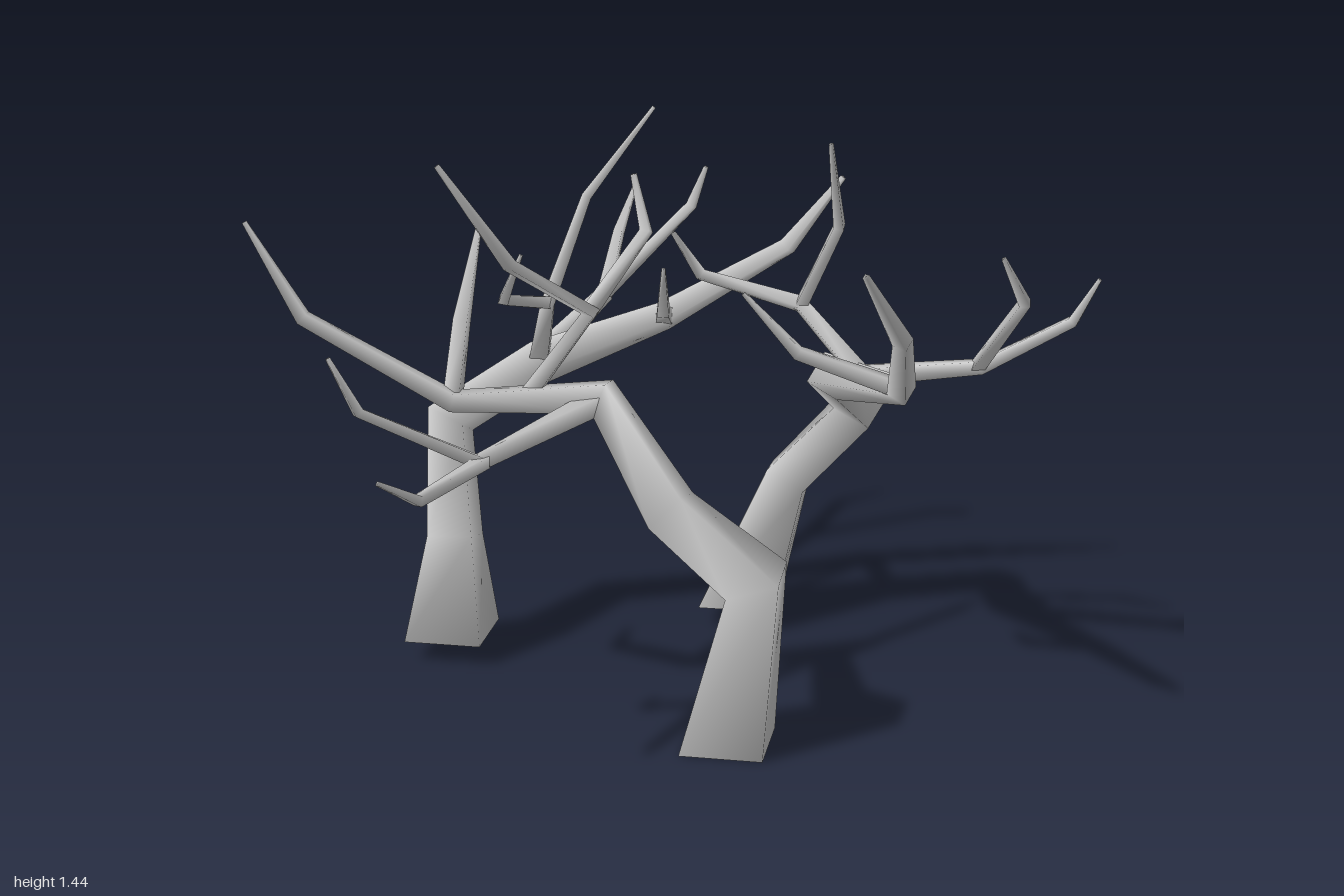
import * as THREE from 'three';

const material = new THREE.MeshStandardMaterial({ color: 0xcccccc });

// Smooth-shaded, four-sided limb through points [x, y, z, halfWidth]
function limb(name, points) {
  const centers = points.map(p => new THREE.Vector3(p[0], p[1], p[2]));
  const n = centers.length;
  const steps = centers.slice(1).map((c, i) => c.clone().sub(centers[i]).normalize());
  let side = new THREE.Vector3(1, 0, 0);
  if (Math.abs(steps[0].x) > 0.9) side.set(0, 0, 1);
  const pos = [], index = [];
  for (let i = 0; i < n; i++) {
    // Trunk feet are cut level; other rings sit halfway between neighbouring directions
    const dir = steps[Math.max(0, i - 1)].clone();
    if (i > 0 && i < n - 1) dir.add(steps[i]).normalize();
    if (i === 0 && name === 'trunk') dir.set(0, 1, 0);
    side = side.clone().addScaledVector(dir, -side.dot(dir)).normalize();
    const other = new THREE.Vector3().crossVectors(dir, side);
    const h = points[i][3];
    for (const [a, b] of [[1, 1], [-1, 1], [-1, -1], [1, -1]]) {
      const v = centers[i].clone().addScaledVector(side, a * h).addScaledVector(other, b * h);
      pos.push(v.x, v.y, v.z);
    }
  }
  for (let i = 0; i < n - 1; i++) {
    for (let k = 0; k < 4; k++) {
      const a = i * 4 + k, b = i * 4 + (k + 1) % 4;
      index.push(a, b, b + 4, a, b + 4, a + 4);
    }
  }
  // End caps, shaded smoothly into the sides
  const t = (n - 1) * 4;
  index.push(t, t + 1, t + 2, t, t + 2, t + 3);
  index.push(0, 2, 1, 0, 3, 2);
  const geo = new THREE.BufferGeometry();
  geo.setAttribute('position', new THREE.Float32BufferAttribute(pos, 3));
  geo.setIndex(index);
  geo.computeVertexNormals();
  const mesh = new THREE.Mesh(geo, material);
  mesh.name = name;
  return mesh;
}

function tree(name, trunk, branches) {
  const group = new THREE.Group();
  group.name = name;
  group.add(limb('trunk', trunk));
  branches.forEach((b, i) => group.add(limb('branch' + (i + 1), b)));
  return group;
}

export function createModel() {
  const model = new THREE.Group();
  model.name = 'bareTrees';

  model.add(tree('frontTree',
    [[0.15, 0, 0.37, 0.103], [0.22, 0.43, 0.38, 0.068], [0.02, 0.61, 0.42, 0.054],
      [-0.18, 0.83, 0.25, 0.04], [-0.52, 0.84, 0.38, 0.022], [-0.87, 1.04, 0.42, 0.016], [-1, 1.27, 0.43, 0.005]],
    [
      // twig on the long side limb
      [[-0.52, 0.83, 0.38, 0.02], [-0.53, 1.0, 0.24, 0.018], [-0.5, 1.22, 0.17, 0.006]],
      // low forward limb and its fork
      [[-0.19, 0.82, 0.26, 0.024], [-0.4, 0.76, 0.59, 0.016], [-0.64, 0.91, 0.73, 0.012], [-0.7, 1.04, 0.75, 0.005]],
      [[-0.39, 0.76, 0.58, 0.015], [-0.47, 0.75, 0.85, 0.012], [-0.53, 0.82, 0.95, 0.005]],
      // high limb and its fork
      [[-0.36, 0.83, 0.31, 0.02], [-0.2, 1.05, 0.28, 0.017], [-0.35, 1.2, 0.46, 0.013], [-0.5, 1.44, 0.52, 0.005]],
      [[-0.21, 1.04, 0.28, 0.015], [-0.1, 1.21, 0.1, 0.013], [-0.13, 1.35, 0.1, 0.006]],
    ]));

  model.add(tree('rightTree',
    [[-0.67, 0.055, -0.08, 0.102], [-0.66, 0.32, -0.1, 0.06], [-0.7, 0.6, -0.23, 0.054],
      [-0.47, 0.75, -0.29, 0.045], [-0.17, 0.84, -0.49, 0.03], [0.16, 1.04, -0.52, 0.018], [0.31, 1.24, -0.48, 0.006]],
    [
      // twig at the bend
      [[-0.17, 0.84, -0.49, 0.022], [-0.13, 0.91, -0.27, 0.016], [-0.1, 1.06, -0.12, 0.005]],
      // backward limb and its fork
      [[-0.47, 0.76, -0.29, 0.025], [-0.37, 0.85, -0.66, 0.018], [-0.38, 0.97, -0.9, 0.013], [-0.34, 1.1, -0.95, 0.005]],
      [[-0.37, 0.85, -0.65, 0.015], [-0.15, 1.08, -0.79, 0.012], [-0.1, 1.2, -0.74, 0.005]],
      // upward limb and its fork
      [[-0.47, 0.76, -0.29, 0.025], [-0.41, 0.95, -0.15, 0.018], [-0.34, 1.2, -0.31, 0.013], [-0.16, 1.44, -0.31, 0.005]],
      [[-0.41, 0.95, -0.16, 0.016], [-0.47, 1.01, 0.06, 0.013], [-0.41, 1.14, 0.12, 0.005]],
    ]));

  model.add(tree('backTree',
    [[0.05, 0.055, -0.46, 0.102], [0.17, 0.4, -0.5, 0.057], [0.36, 0.61, -0.51, 0.054],
      [0.32, 0.78, -0.2, 0.045], [0.53, 0.84, 0.1, 0.027], [0.56, 1.05, 0.42, 0.018], [0.49, 1.24, 0.58, 0.006]],
    [
      // inward twig near the end
      [[0.53, 0.84, 0.09, 0.02], [0.28, 0.93, 0.13, 0.015], [0.15, 1.08, 0.16, 0.005]],
      // outward limb and its fork
      [[0.34, 0.78, -0.19, 0.024], [0.71, 0.85, -0.11, 0.017], [0.93, 0.98, -0.1, 0.013], [0.99, 1.1, -0.05, 0.005]],
      [[0.7, 0.85, -0.11, 0.015], [0.82, 1.08, 0.13, 0.013], [0.77, 1.2, 0.19, 0.005]],
      // high inward limb and its fork
      [[0.43, 0.81, -0.06, 0.022], [0.24, 0.97, -0.19, 0.017], [-0.02, 1.03, -0.21, 0.013], [-0.08, 1.15, -0.15, 0.005]],
      [[0.24, 0.96, -0.19, 0.015], [0.35, 1.2, -0.08, 0.013], [0.35, 1.44, 0.11, 0.005]],
    ]));

  return model;
}
